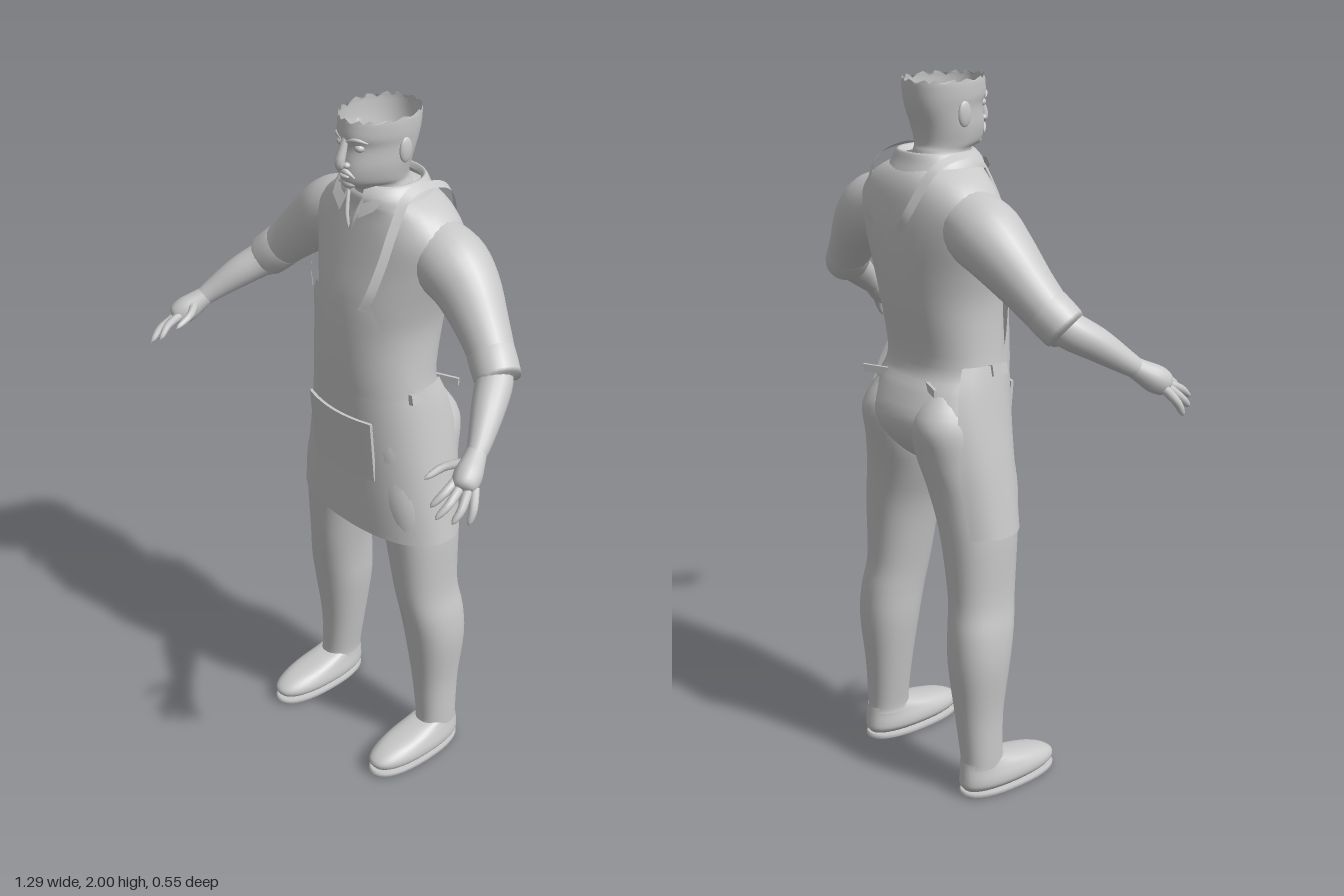
import * as THREE from 'three';

const clay = new THREE.MeshStandardMaterial({ color: 0xc8c8c8, side: THREE.DoubleSide });
clay.name = 'light grey';

const V = (p) => new THREE.Vector3(...p);

// Smoothly resample a list of number rows
function smooth(rows, n) {
  const out = [];
  const at = (i) => rows[Math.min(Math.max(i, 0), rows.length - 1)];
  for (let i = 0; i < rows.length - 1; i++) {
    for (let s = 0; s < n; s++) {
      const t = s / n, [a, b, c, d] = [at(i - 1), at(i), at(i + 1), at(i + 2)];
      out.push(b.map((v, k) => v + 0.5 * t * (c[k] - a[k] +
        t * (2 * a[k] - 5 * v + 4 * c[k] - d[k] + t * (3 * (v - c[k]) + d[k] - a[k])))));
    }
  }
  out.push(rows[rows.length - 1]);
  return out;
}

// Surface through rows of points
function skin(rows, closed) {
  const w = rows[0].length, index = [];
  for (let j = 0; j < rows.length - 1; j++) {
    for (let i = 0; i < (closed ? w : w - 1); i++) {
      const k = (i + 1) % w, a = j * w + i, b = j * w + k;
      index.push(a, b, b + w, a, b + w, a + w);
    }
  }
  const g = new THREE.BufferGeometry();
  g.setAttribute('position', new THREE.Float32BufferAttribute(rows.flat(2), 3));
  g.setIndex(index);
  g.computeVertexNormals();
  return g;
}

// Point on a horizontal section [y, xMin, xMax, zFront, zBack, frontTaper]
function sectionPoint([y, x0, x1, zf, zb, taper = 0], a) {
  const pw = (v) => Math.sign(v) * Math.abs(v) ** 0.88;
  const s = pw(Math.sin(a)), c = pw(Math.cos(a));
  return [(x0 + x1) / 2 + (x1 - x0) / 2 * s * (1 - taper * Math.max(c, 0)), y,
    (zf + zb) / 2 + (zf - zb) / 2 * c];
}

// Closed body from horizontal sections, bottom to top
function loft(sections, n = 4, sides = 36) {
  return skin(smooth(sections, n).map((s) =>
    Array.from({ length: sides }, (_, i) => sectionPoint(s, i / sides * Math.PI * 2))), true);
}

// Open cloth from sections whose last value is the half angle around the front
function cloth(sections, n = 4, sides = 40) {
  return skin(smooth(sections, n).map((s) =>
    Array.from({ length: sides + 1 }, (_, i) => sectionPoint(s.slice(0, 5), (i / sides * 2 - 1) * s[5]))), false);
}

// Round limb along [x, y, z, radius] stations
function limb(stations, n = 4, sides = 16) {
  const st = smooth(stations, n), up = V([0.1, 0.3, 1]);
  return skin(st.map((p, j) => {
    const t = V(st[Math.min(j + 1, st.length - 1)]).sub(V(st[Math.max(j - 1, 0)])).normalize();
    const u = up.clone().addScaledVector(t, -up.dot(t)).normalize();
    const m = t.clone().cross(u);
    return Array.from({ length: sides }, (_, i) => {
      const a = i / sides * Math.PI * 2;
      return V(p).addScaledVector(u, Math.cos(a) * p[3]).addScaledVector(m, Math.sin(a) * p[3]).toArray();
    });
  }), true);
}

// Flat strap lying around the upper body
function strap(points, width) {
  const st = smooth(points, 6), core = V([0, 1.6, -0.1]);
  return skin(st.map((p, j) => {
    const t = V(st[Math.min(j + 1, st.length - 1)]).sub(V(st[Math.max(j - 1, 0)])).normalize();
    const side = t.cross(V(p).sub(core).normalize()).normalize();
    return [-0.5, 0.5].map((k) => V(p).addScaledVector(side, k * width).toArray());
  }), false);
}

function ball(r, pos, scale) {
  return new THREE.SphereGeometry(r, 20, 14).scale(...scale).translate(...pos);
}

function mirrored(g) {
  const m = g.clone().scale(-1, 1, 1), ix = m.index;
  for (let i = 0; i < ix.count; i += 3) {
    const b = ix.getX(i + 1);
    ix.setX(i + 1, ix.getX(i + 2));
    ix.setX(i + 2, b);
  }
  return m;
}

const sym = (y, rx, ...rest) => [y, -rx, rx, ...rest];

export function createModel() {
  const root = new THREE.Group();
  root.name = 'apronedMan';
  const add = (name, g) => {
    const mesh = new THREE.Mesh(g, clay);
    mesh.name = name;
    root.add(mesh);
  };
  const pair = (name, g) => {
    add(name + 'Left', g);
    add(name + 'Right', mirrored(g));
  };

  // Shirt and hips
  add('torso', loft([
    sym(0.95, 0.01, -0.09, -0.11), sym(0.97, 0.1, -0.01, -0.18), sym(1.03, 0.195, 0.03, -0.24),
    sym(1.1, 0.21, 0.045, -0.268), sym(1.18, 0.195, 0.055, -0.24), sym(1.25, 0.178, 0.06, -0.21),
    sym(1.4, 0.172, 0.06, -0.24), sym(1.5, 0.19, 0.053, -0.255), sym(1.6, 0.22, 0.03, -0.262),
    sym(1.68, 0.235, 0.01, -0.255), sym(1.74, 0.19, -0.005, -0.24), sym(1.78, 0.12, -0.01, -0.21),
    sym(1.8, 0.06, -0.04, -0.15)]));

  // Trouser legs
  pair('leg', loft([
    [0.09, 0.165, 0.27, -0.062, -0.192], [0.12, 0.165, 0.27, -0.066, -0.19], [0.25, 0.146, 0.27, -0.06, -0.2],
    [0.4, 0.125, 0.284, -0.04, -0.215], [0.5, 0.118, 0.28, -0.022, -0.212], [0.6, 0.106, 0.264, -0.006, -0.2],
    [0.78, 0.072, 0.262, 0.012, -0.208], [0.9, 0.028, 0.248, 0.03, -0.22], [1.0, 0.0, 0.226, 0.035, -0.242],
    [1.1, 0.005, 0.208, 0.04, -0.262], [1.18, 0.03, 0.17, 0.02, -0.22]]));

  // Shoes with thin soles
  pair('sole', loft([
    [0, 0.21, 0.22, -0.03, -0.04], [0.002, 0.16, 0.28, 0.125, -0.195], [0.006, 0.156, 0.285, 0.132, -0.2],
    [0.016, 0.156, 0.285, 0.132, -0.2], [0.02, 0.16, 0.28, 0.125, -0.195], [0.021, 0.21, 0.22, -0.03, -0.04]], 1));
  pair('shoe', loft([
    [0.02, 0.17, 0.272, 0.11, -0.19], [0.035, 0.156, 0.285, 0.128, -0.2], [0.055, 0.155, 0.286, 0.125, -0.2],
    [0.078, 0.162, 0.278, 0.08, -0.198], [0.095, 0.168, 0.27, 0.0, -0.196], [0.108, 0.172, 0.266, -0.06, -0.194]], 3));

  // Sleeves, rolled cuffs, forearms
  pair('sleeve', limb([
    [0.12, 1.66, -0.13, 0.085], [0.22, 1.625, -0.13, 0.098], [0.29, 1.58, -0.125, 0.088],
    [0.37, 1.505, -0.105, 0.07], [0.43, 1.445, -0.085, 0.06]], 4, 24));
  pair('cuff', limb([
    [0.41, 1.465, -0.09, 0.055], [0.415, 1.46, -0.089, 0.063], [0.46, 1.418, -0.07, 0.062],
    [0.467, 1.411, -0.066, 0.055], [0.462, 1.415, -0.068, 0.042]], 2, 24));
  pair('forearm', limb([
    [0.435, 1.44, -0.08, 0.045], [0.465, 1.41, -0.055, 0.049], [0.505, 1.37, 0.005, 0.044],
    [0.545, 1.32, 0.07, 0.032], [0.56, 1.298, 0.1, 0.026]]));

  // Hands
  pair('palm', limb([
    [0.552, 1.308, 0.085, 0.026], [0.565, 1.29, 0.112, 0.031], [0.58, 1.268, 0.145, 0.037],
    [0.592, 1.25, 0.172, 0.03], [0.596, 1.244, 0.18, 0.004]]));
  const knuckles = [
    [[0.568, 1.265, 0.168], [0.572, 1.245, 0.215], [0.562, 1.215, 0.255]],
    [[0.585, 1.255, 0.172], [0.598, 1.23, 0.222], [0.592, 1.198, 0.266]],
    [[0.602, 1.248, 0.165], [0.62, 1.215, 0.202], [0.62, 1.184, 0.235]],
    [[0.61, 1.248, 0.15], [0.633, 1.21, 0.175], [0.638, 1.172, 0.195]],
    [[0.558, 1.29, 0.13], [0.525, 1.28, 0.17], [0.512, 1.262, 0.23]]];
  for (const [a, b, c] of knuckles) {
    const mid = V(b).lerp(V(c), 0.75).toArray();
    pair('finger', limb([[...a, 0.013], [...b, 0.0115], [...mid, 0.008], [...c, 0.001]], 3, 10));
  }

  // Open hollow head with a ragged rim
  const sides = 48;
  const head = loft([
    sym(1.74, 0.078, -0.015, -0.18, 0), sym(1.79, 0.072, -0.012, -0.17, 0.05), sym(1.812, 0.068, 0.016, -0.165, 0.35),
    sym(1.83, 0.073, 0.04, -0.16, 0.35), sym(1.87, 0.081, 0.042, -0.168, 0.25), sym(1.92, 0.086, 0.034, -0.185, 0.2),
    sym(1.95, 0.09, 0.044, -0.192, 0.2), sym(1.98, 0.091, 0.042, -0.195, 0.18), sym(1.995, 0.09, 0.04, -0.195, 0.18)], 4, sides);
  const hp = head.attributes.position;
  for (let i = 0; i < sides; i++) {
    hp.setY(hp.count - sides + i, 1.99 + 0.01 * [1, 0.5, -0.4, 0.7, 1, -0.1][i % 6]);
  }
  head.computeVertexNormals();
  add('head', head);

  // Face
  add('nose', limb([[0, 1.95, 0.036, 0.008], [0, 1.92, 0.045, 0.011], [0, 1.887, 0.056, 0.014],
    [0, 1.874, 0.05, 0.012], [0, 1.87, 0.045, 0.002]], 3, 12));
  pair('nostril', ball(0.01, [0.013, 1.879, 0.045], [1, 0.8, 1]));
  pair('eye', ball(0.014, [0.034, 1.925, 0.019], [1, 0.8, 1]));
  pair('brow', limb([[0.01, 1.942, 0.042, 0.003], [0.035, 1.95, 0.034, 0.006], [0.06, 1.942, 0.014, 0.002]], 3, 8));
  pair('moustache', limb([[0, 1.862, 0.046, 0.008], [0.016, 1.86, 0.044, 0.007], [0.032, 1.846, 0.034, 0.002]], 3, 8));
  add('lips', ball(0.016, [0, 1.846, 0.04], [1.1, 0.4, 0.6]));
  add('chin', ball(0.02, [0, 1.823, 0.026], [1.1, 0.7, 0.8]));
  pair('ear', ball(0.034, [0.092, 1.91, -0.085], [0.25, 1, 0.6]));

  // Shirt collar and open neck
  const collar = cloth([
    sym(1.765, 0.13, 0.012, -0.225, Math.PI - 0.25), sym(1.79, 0.118, 0.0, -0.222, Math.PI - 0.22),
    sym(1.815, 0.096, -0.01, -0.2, Math.PI - 0.18), sym(1.8, 0.08, -0.02, -0.185, Math.PI - 0.2)], 3);
  // The opening faces forward, so turn the band half round its own centre
  collar.rotateY(Math.PI).translate(0, 0, -0.213);
  add('collar', collar);
  pair('collarWing', skin([[[0.025, 1.79, 0.0], [0.09, 1.79, -0.01]],
    [[0.035, 1.735, 0.028], [0.08, 1.765, 0.012]]], false));
  pair('neckOpening', limb([[0.03, 1.785, 0.0, 0.005], [0.015, 1.73, 0.02, 0.006], [0, 1.69, 0.024, 0.003]], 3, 8));

  // Apron: bib, wrapped skirt, front pocket
  add('apronBib', cloth([
    sym(1.24, 0.19, 0.073, -0.22, 1.5), sym(1.3, 0.186, 0.076, -0.23, 1.2), sym(1.4, 0.184, 0.076, -0.25, 0.92),
    sym(1.47, 0.195, 0.072, -0.26, 0.68), sym(1.515, 0.2, 0.067, -0.265, 0.52)]));
  add('apronSkirt', cloth([
    sym(0.79, 0.277, 0.05, -0.24, 2.25), sym(0.9, 0.258, 0.056, -0.25, 2.2), sym(1.0, 0.24, 0.06, -0.262, 2.15),
    sym(1.1, 0.22, 0.066, -0.268, 2.1), sym(1.19, 0.202, 0.07, -0.25, 2.1), sym(1.255, 0.187, 0.072, -0.22, 2.1)]));
  const pocket = new THREE.BoxGeometry(0.25, 0.19, 0.009, 12, 4, 1);
  const pp = pocket.attributes.position;
  for (let i = 0; i < pp.count; i++) {
    const x = pp.getX(i), y = pp.getY(i);
    pp.setZ(i, pp.getZ(i) + 0.072 + 0.09 * y - 1.4 * x * x);
  }
  pocket.translate(0, 1.073, 0).computeVertexNormals();
  add('apronPocket', pocket);

  // Neck straps, meeting low on the back
  pair('apronStrap', strap([
    [0.098, 1.505, 0.068], [0.118, 1.56, 0.055], [0.128, 1.64, 0.024], [0.128, 1.72, -0.012], [0.124, 1.795, -0.06],
    [0.125, 1.81, -0.13], [0.12, 1.78, -0.215], [0.09, 1.68, -0.27], [0.05, 1.62, -0.278], [0, 1.6, -0.278]], 0.025));

  // Waist ties and back pocket flaps
  pair('waistTie', new THREE.BoxGeometry(0.016, 0.03, 0.05).rotateZ(0.2).translate(0.19, 1.24, -0.05));
  pair('backPocketFlap', new THREE.BoxGeometry(0.09, 0.022, 0.008).rotateY(0.4).translate(0.115, 1.2, -0.222));
  return root;
}
